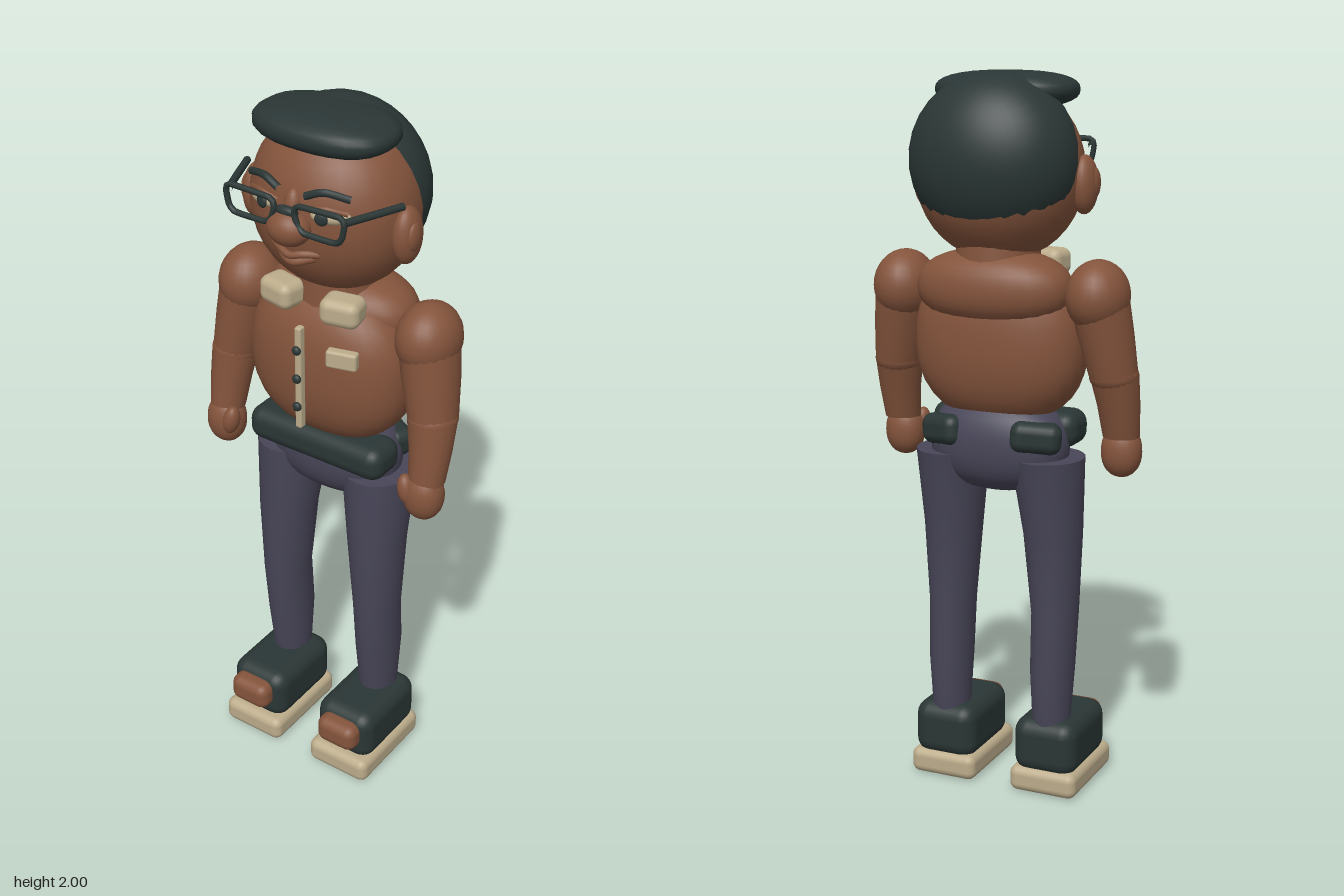
import * as THREE from 'three';
import { mergeVertices } from 'three/addons/utils/BufferGeometryUtils.js';
import { RoundedBoxGeometry } from 'three/addons/geometries/RoundedBoxGeometry.js';

const mat = (name, color) => {
  const m = new THREE.MeshStandardMaterial({ color });
  m.name = name;
  return m;
};

// Ellipsoid; a power above 2 makes it boxier
function blob(rx, ry, rz, power = 2, seg = 24) {
  let g = new THREE.SphereGeometry(1, seg, Math.round(seg * 0.67));
  const p = g.attributes.position;
  for (let i = 0; i < p.count; i++) {
    const v = new THREE.Vector3().fromBufferAttribute(p, i);
    const n = Math.pow(Math.abs(v.x) ** power + Math.abs(v.y) ** power + Math.abs(v.z) ** power, 1 / power);
    p.setXYZ(i, (v.x / n) * rx, (v.y / n) * ry, (v.z / n) * rz);
  }
  g.deleteAttribute('uv');
  g.deleteAttribute('normal');
  g = mergeVertices(g, 1e-5);
  g.computeVertexNormals();
  return g;
}

// Limb skinned over rising elliptical rings [y, centreX, centreZ, radiusX, radiusZ]
function loft(rings, seg = 20) {
  const pos = [], idx = [];
  const addRing = ([y, cx, cz, rx, rz]) => {
    for (let j = 0; j < seg; j++) {
      const a = (j / seg) * Math.PI * 2;
      pos.push(cx + rx * Math.cos(a), y, cz + rz * Math.sin(a));
    }
  };
  rings.forEach(addRing);
  for (let i = 0; i < rings.length - 1; i++) {
    for (let j = 0; j < seg; j++) {
      const a = i * seg + j, b = i * seg + ((j + 1) % seg);
      idx.push(a, a + seg, b, b, a + seg, b + seg);
    }
  }
  // flat end caps
  [[rings[0], false], [rings[rings.length - 1], true]].forEach(([r, top]) => {
    const start = pos.length / 3;
    addRing(r);
    pos.push(r[1], r[0], r[2]);
    for (let j = 0; j < seg; j++) {
      const a = start + j, b = start + ((j + 1) % seg);
      idx.push(start + seg, top ? b : a, top ? a : b);
    }
  });
  const g = new THREE.BufferGeometry();
  g.setAttribute('position', new THREE.Float32BufferAttribute(pos, 3));
  g.setIndex(idx);
  g.computeVertexNormals();
  return g;
}

const box = (w, h, d, r) => new RoundedBoxGeometry(w, h, d, 3, r);

function tube(points, radius, closed = false, tension = 0.5) {
  const pts = points.map(p => new THREE.Vector3(...p));
  const curve = new THREE.CatmullRomCurve3(pts, closed, 'catmullrom', tension);
  return new THREE.TubeGeometry(curve, 32, radius, 8, closed);
}

export function createModel() {
  const root = new THREE.Group();
  root.name = 'figure';
  const skin = mat('brown', 0x84543c);
  const dark = mat('dark green', 0x2a3635);
  const pants = mat('slate', 0x484658);
  const cream = mat('cream', 0xbcac8b);

  const add = (name, geo, m, x = 0, y = 0, z = 0, rx = 0, ry = 0, rz = 0) => {
    const o = new THREE.Mesh(geo, m);
    o.name = name;
    o.position.set(x, y, z);
    o.rotation.set(rx, ry, rz);
    root.add(o);
    return o;
  };

  // Head and hair
  add('head', blob(0.23, 0.235, 0.2, 2.1, 32), skin, 0, 1.735, -0.02);
  add('neck', new THREE.CylinderGeometry(0.11, 0.12, 0.14, 20), skin, 0, 1.52, -0.03);
  const dome = new THREE.SphereGeometry(1, 28, 14, 0, Math.PI * 2, 0, Math.PI * 0.51);
  dome.rotateX(-Math.PI / 2 + 0.27);
  dome.scale(0.236, 0.23, 0.185);
  const hair = dark.clone();
  hair.name = 'hair dark green';
  hair.side = THREE.DoubleSide;
  add('backHair', dome, hair, 0, 1.768, -0.055);
  add('topHair', blob(0.197, 0.05, 0.128, 2.5, 28), dark, 0, 1.947, 0.028);

  // Face
  add('nose', blob(0.06, 0.048, 0.05), skin, 0, 1.733, 0.188);
  add('noseBridge', blob(0.028, 0.06, 0.03), skin, 0, 1.77, 0.165);
  add('upperLip', tube([[-0.068, 1.662, 0.155], [-0.035, 1.664, 0.178], [0, 1.657, 0.187],
    [0.035, 1.664, 0.178], [0.068, 1.662, 0.155]], 0.01), skin);
  add('lowerLip', tube([[-0.055, 1.65, 0.155], [0, 1.636, 0.178], [0.055, 1.65, 0.155]], 0.012), skin);

  // Glasses bridge
  add('glassesBridge', blob(0.035, 0.014, 0.014), dark, 0, 1.78, 0.197);

  for (const s of [-1, 1]) {
    add('ear', blob(0.036, 0.078, 0.05), skin, s * 0.23, 1.705, 0.01);
    add('earInner', blob(0.014, 0.04, 0.026), skin, s * 0.256, 1.71, 0.018);
    add('eye', blob(0.052, 0.021, 0.026), cream, s * 0.1, 1.775, 0.15, 0, s * 0.4, 0);
    add('pupil', blob(0.018, 0.018, 0.008), dark, s * 0.09, 1.775, 0.178, 0, s * 0.3, 0);
    add('eyelid', tube([[s * 0.045, 1.788, 0.172], [s * 0.095, 1.8, 0.17], [s * 0.145, 1.788, 0.142]], 0.007), skin);
    add('eyebrow', tube([[s * 0.04, 1.822, 0.175], [s * 0.09, 1.84, 0.165], [s * 0.15, 1.826, 0.138]], 0.01), dark);
    // Glasses frame and temple
    add('glassesFrame', tube([[0.03, 1.79], [0.045, 1.808], [0.165, 1.812], [0.178, 1.795], [0.17, 1.755],
      [0.15, 1.74], [0.06, 1.74], [0.04, 1.755]].map(([x, y]) => [s * x, y, 0.207]), 0.008, true, 0.25), dark);
    add('glassesTemple', tube([[s * 0.172, 1.797, 0.205], [s * 0.205, 1.797, 0.125], [s * 0.238, 1.797, 0.042]], 0.01), dark);
  }

  // Torso
  add('torso', blob(0.243, 0.225, 0.147, 2.4, 32), skin, 0, 1.28, -0.008);
  add('upperBack', blob(0.22, 0.105, 0.125, 2.3, 28), skin, 0, 1.43, -0.052);
  add('placket', box(0.02, 0.305, 0.024, 0.006), cream, 0, 1.283, 0.15);
  for (const y of [1.37, 1.285, 1.2]) add('button', blob(0.013, 0.013, 0.01, 2, 14), dark, 0, y, 0.165);
  add('chestPocket', box(0.085, 0.05, 0.03, 0.008), cream, 0.12, 1.368, 0.13, 0, 0.25, 0);

  // Hips and belt
  add('hips', blob(0.2, 0.135, 0.118, 2.3, 28), pants, 0, 1.0, -0.018);
  add('belt', box(0.435, 0.1, 0.13, 0.04), dark, 0, 1.04, 0.045);

  for (const s of [-1, 1]) {
    add('collar', box(0.11, 0.075, 0.085, 0.025), cream, s * 0.095, 1.488, 0.092, 0, s * 0.2, 0);
    add('backPocket', box(0.14, 0.085, 0.08, 0.03), dark, s * 0.135, 1.035, -0.085, 0, -s * 0.45, -s * 0.1);

    // Arm
    add('shoulder', blob(0.085, 0.098, 0.1), skin, s * 0.285, 1.417, -0.022);
    add('upperArm', loft([[1.2, s * 0.322, 0.005, 0.066, 0.07], [1.32, s * 0.302, -0.01, 0.076, 0.084],
      [1.44, s * 0.283, -0.022, 0.08, 0.092]]), skin);
    add('elbow', blob(0.067, 0.05, 0.071), skin, s * 0.322, 1.205, 0.006);
    add('forearm', loft([[1.03, s * 0.332, 0.042, 0.05, 0.05], [1.12, s * 0.33, 0.024, 0.058, 0.06],
      [1.21, s * 0.322, 0.006, 0.067, 0.071]]), skin);
    add('hand', blob(0.056, 0.072, 0.052, 2.2), skin, s * 0.33, 0.988, 0.052);
    add('thumb', blob(0.024, 0.045, 0.026), skin, s * 0.293, 1.005, 0.08, 0, 0, s * 0.2);

    // Leg
    add('leg', loft([[0.19, s * 0.156, -0.012, 0.052, 0.06], [0.36, s * 0.157, -0.008, 0.06, 0.08],
      [0.52, s * 0.158, 0.005, 0.064, 0.08], [0.75, s * 0.152, 0.002, 0.081, 0.092],
      [0.97, s * 0.143, -0.018, 0.101, 0.112]], 24), pants);

    // Shoe
    add('shoeSole', box(0.2, 0.075, 0.3, 0.025), cream, s * 0.155, 0.0375, 0.06);
    add('shoeUpper', box(0.188, 0.16, 0.27, 0.045), dark, s * 0.155, 0.137, 0.05);
    add('toePatch', box(0.13, 0.085, 0.07, 0.03), skin, s * 0.157, 0.153, 0.192);
  }

  return root;
}
